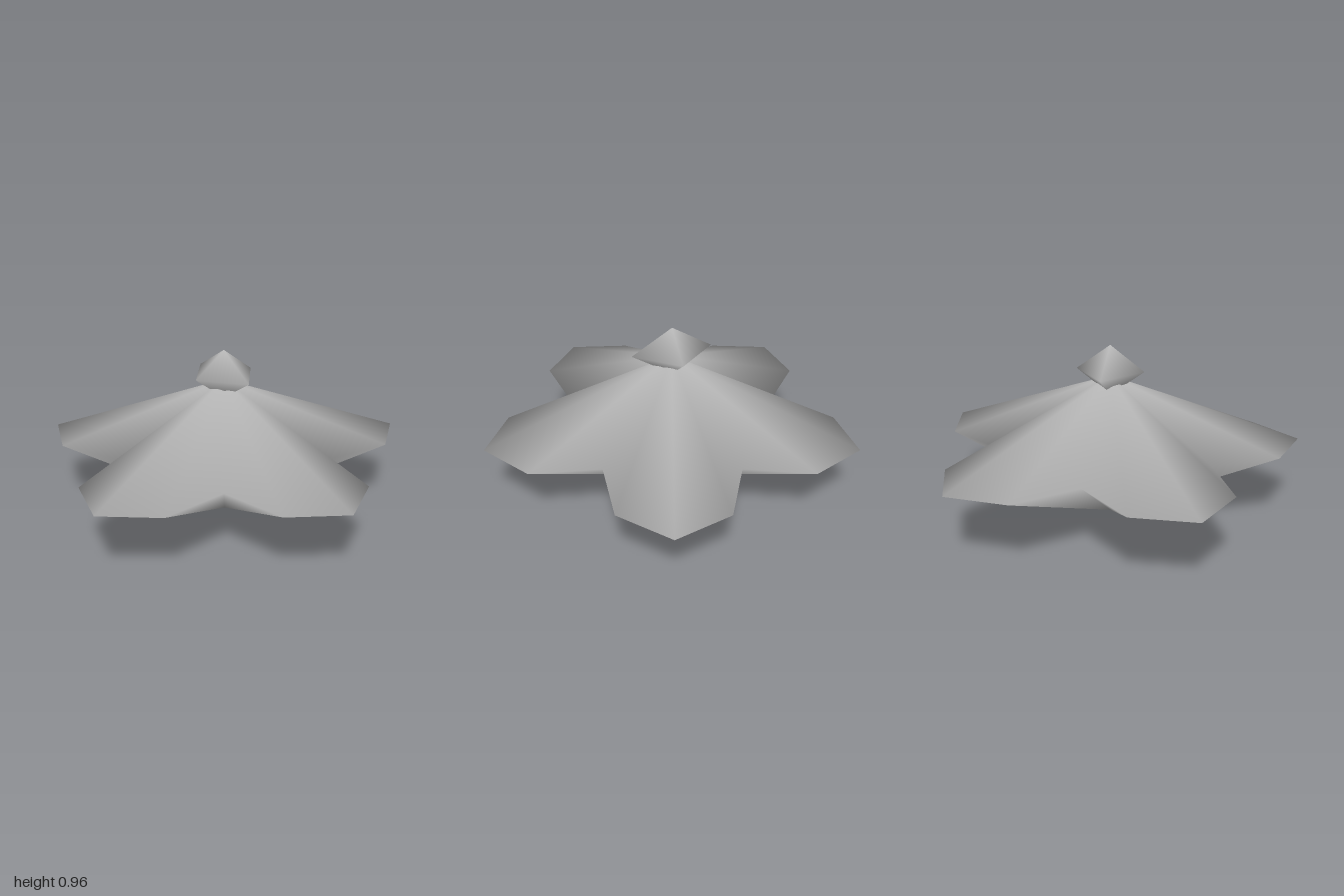
import * as THREE from 'three';

// Smooth closed double pyramid: a flat rim joined to a top and a bottom point.
function bipyramid(rim, rimY, topY, bottomY) {
  const positions = [0, topY, 0, 0, bottomY, 0];
  const index = [];
  rim.forEach(([x, z], i) => {
    positions.push(x, rimY, z);
    const a = 2 + i;
    const b = 2 + ((i + 1) % rim.length);
    index.push(0, a, b, 1, b, a);
  });
  const geometry = new THREE.BufferGeometry();
  geometry.setAttribute('position', new THREE.Float32BufferAttribute(positions, 3));
  geometry.setIndex(index);
  geometry.computeVertexNormals();
  return geometry;
}

// Rim points run from +x towards -z, so that faces wind outwards.
const polar = (radius, degrees) => {
  const a = THREE.MathUtils.degToRad(degrees);
  return [radius * Math.cos(a), -radius * Math.sin(a)];
};

export function createModel() {
  const model = new THREE.Group();
  const grey = new THREE.MeshStandardMaterial({ color: 0xc0c0c0 });
  grey.name = 'light grey';

  // Five petals, each with a tip, two shoulders and a valley to the next
  const rim = [];
  for (let i = 0; i < 5; i++) {
    const a = i * 72;
    rim.push(polar(1.05, a), polar(0.914, a + 18), polar(0.612, a + 36), polar(0.914, a + 54));
  }
  const flower = new THREE.Mesh(bipyramid(rim, 0.395, 0.79, 0), grey);
  flower.name = 'flowerBody';

  // Four-sided bead sunk into the top of the flower
  const diamond = [[0.225, 0], [0, -0.185], [-0.225, 0], [0, 0.185]];
  const bead = new THREE.Mesh(bipyramid(diamond, 0.82, 0.957, 0.683), grey);
  bead.name = 'topBead';

  model.add(flower, bead);
  model.children.forEach((part) => { part.position.x = -0.091; });
  return model;
}
